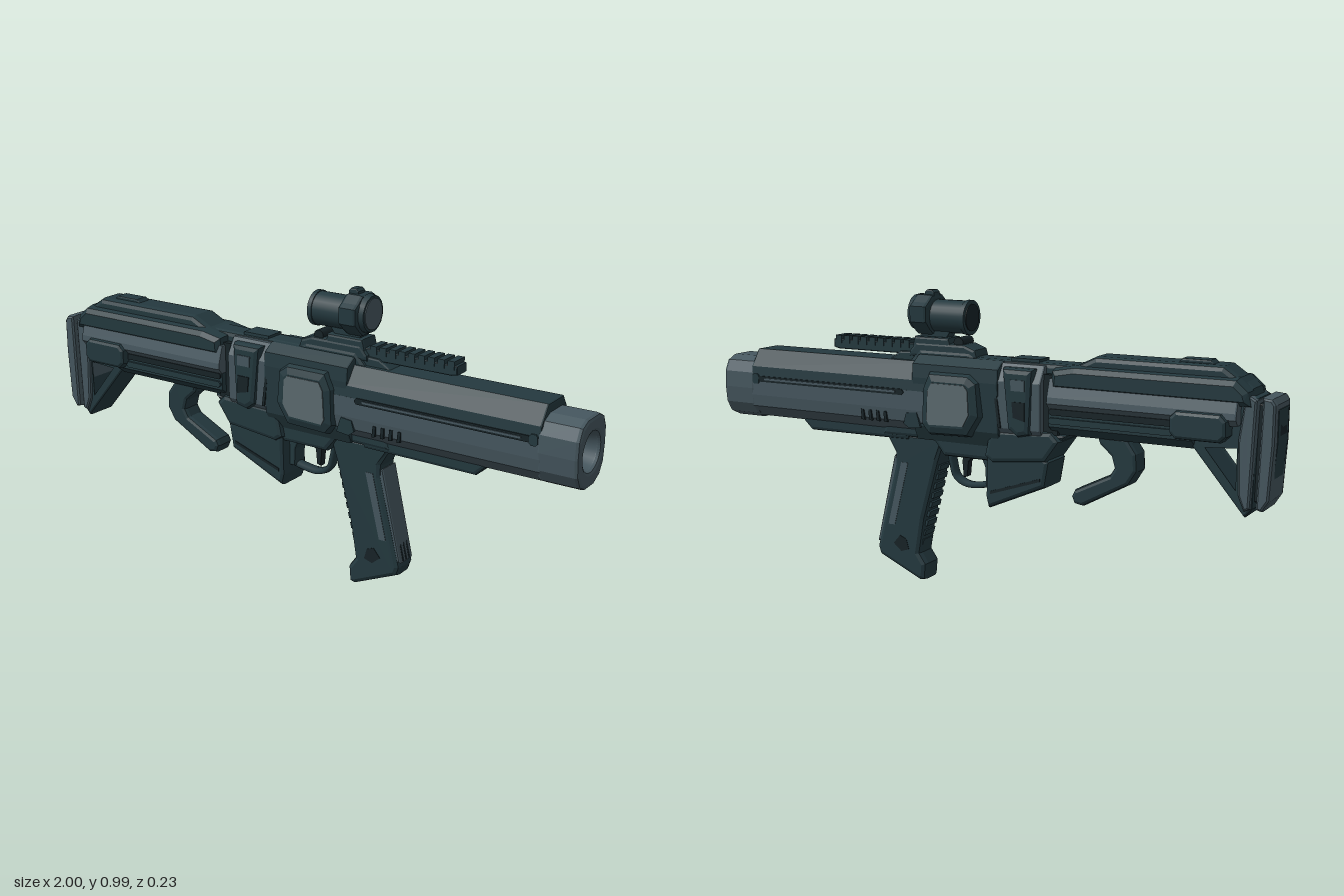
import * as THREE from 'three';

const mat = (name, color) => {
  const m = new THREE.MeshStandardMaterial({ color, side: THREE.DoubleSide });
  m.name = name;
  return m;
};

export function createModel() {
  const dark = mat('dark teal', 0x24393f);
  const mid = mat('slate grey', 0x46575f);
  const light = mat('light grey', 0x5c6a6f);
  const black = mat('near black', 0x172327);
  const root = new THREE.Group();

  const add = (name, geo, m, x = 0, y = 0, z = 0) => {
    const mesh = new THREE.Mesh(geo, m);
    mesh.name = name;
    mesh.position.set(x, y, z);
    root.add(mesh);
    return mesh;
  };
  const poly = (pts) => new THREE.Shape(pts.map((p) => new THREE.Vector2(p[0], p[1])));
  const mirrored = (half) => half.concat(half.map(([z, y]) => [-z, y]).reverse());
  const bevelled = (shape, depth, bt, bs) => {
    const g = new THREE.ExtrudeGeometry(shape, {
      depth: depth - 2 * bt, bevelEnabled: bt > 0, bevelThickness: bt, bevelSize: bs,
      bevelOffset: -bs, bevelSegments: 2, curveSegments: 24,
    });
    g.translate(0, 0, bt - depth / 2);
    return g;
  };
  // side profile (x, y) extruded across the width, with chamfered edges
  const side = (name, pts, half, m, bt = 0.015, bs = bt, hole) => {
    const s = poly(pts);
    if (hole) s.holes.push(poly(hole));
    return add(name, bevelled(s, half * 2, bt, bs), m);
  };
  // half cross-section (z, y), mirrored, extruded from x0 to x1
  const along = (name, half, x0, x1, m, bevel = 0.006) =>
    add(name, bevelled(poly(mirrored(half)), x1 - x0, bevel, bevel).rotateY(Math.PI / 2), m, (x0 + x1) / 2);
  // thin or small profile on both flanks
  const flanks = (name, pts, z, thick, m) => {
    for (const s of [1, -1]) {
      const g = new THREE.ExtrudeGeometry(poly(pts), { depth: thick, bevelEnabled: false });
      add(name, g, m, 0, 0, s * z - thick / 2);
    }
  };
  const rect = (x0, x1, y0, y1, c = 0.006) => [
    [x0 + c, y0], [x1 - c, y0], [x1, y0 + c], [x1, y1 - c],
    [x1 - c, y1], [x0 + c, y1], [x0, y1 - c], [x0, y0 + c]];
  const box = (name, x0, x1, y0, y1, half, m, z = 0) =>
    add(name, new THREE.BoxGeometry(x1 - x0, y1 - y0, half * 2), m, (x0 + x1) / 2, (y0 + y1) / 2, z);
  const rodX = (name, r0, r1, x0, x1, y, m, seg = 24) =>
    add(name, new THREE.CylinderGeometry(r1, r0, x1 - x0, seg)
      .rotateY(Math.PI / seg).rotateZ(-Math.PI / 2), m, (x0 + x1) / 2, y);

  // barrel shroud: grey lower shell, dark upper cover
  along('lowerShroud', [[0.052, 0.522], [0.088, 0.56], [0.094, 0.6], [0.094, 0.665]], 0.1, 0.885, mid);
  along('upperShroud', [[0.094, 0.662], [0.09, 0.7], [0.05, 0.757]], 0.14, 0.88, dark);
  flanks('shroudSlot', rect(0.25, 0.85, 0.648, 0.668, 0.008), 0.093, 0.009, black);
  flanks('shroudRod', rect(0.28, 0.82, 0.655, 0.662, 0.002), 0.0975, 0.006, mid);
  flanks('slotEnd', rect(0.845, 0.872, 0.64, 0.675), 0.094, 0.008, dark);
  for (let i = 0; i < 4; i++) {
    const x = 0.315 + i * 0.03;
    flanks('shroudVent', [[x, 0.552], [x + 0.011, 0.554], [x + 0.014, 0.588], [x + 0.003, 0.588]], 0.091, 0.009, black);
  }
  side('underRail', [[0.24, 0.54], [0.26, 0.49], [0.655, 0.487], [0.685, 0.515], [0.7, 0.54]], 0.055, dark, 0.012);

  // muzzle: rounded octagonal sleeve with a round recessed bore
  const sleeve = poly(mirrored([[0.03, -0.11], [0.068, -0.092], [0.09, -0.055], [0.096, 0], [0.094, 0.055], [0.075, 0.092], [0.04, 0.108]]));
  sleeve.holes.push(new THREE.Path().absarc(0, 0, 0.06, 0, Math.PI * 2, true));
  add('muzzle', bevelled(sleeve, 0.135, 0.012, 0.011).rotateY(Math.PI / 2), mid, 0.9325, 0.622);
  const bore = [[0, 0], [0.044, 0], [0.05, 0.012], [0.061, 0.06]].map((p) => new THREE.Vector2(...p));
  add('bore', new THREE.LatheGeometry(bore, 28).rotateZ(-Math.PI / 2), mid, 0.93, 0.622);

  // receiver core and top cover
  along('receiver', [[0.06, 0.5], [0.085, 0.55], [0.092, 0.71], [0.088, 0.755], [0.05, 0.78]], -0.1, 0.22, dark);
  side('receiverTop', [[-0.36, 0.74], [-0.36, 0.782], [0, 0.782], [0.03, 0.8], [0.22, 0.8], [0.26, 0.755], [0.26, 0.72]], 0.045, dark, 0.015);
  side('lowerReceiver', [[-0.33, 0.56], [-0.25, 0.49], [-0.06, 0.45], [0.12, 0.45], [0.16, 0.5], [0.36, 0.5], [0.34, 0.56]], 0.06, dark, 0.015);

  // hexagonal side housing with light panel
  side('sideHousing', [[-0.045, 0.6], [0, 0.53], [0.15, 0.525], [0.18, 0.56], [0.175, 0.68], [0.15, 0.735], [0, 0.735], [-0.035, 0.71]], 0.114, dark, 0.028, 0.03);
  flanks('lightPanel', [[-0.007, 0.605], [0.014, 0.567], [0.141, 0.563], [0.15, 0.58], [0.144, 0.675], [0.13, 0.7], [0.01, 0.7], [-0.003, 0.685]], 0.114, 0.006, light);
  flanks('housingTrim', [[0.185, 0.545], [0.23, 0.54], [0.25, 0.555], [0.24, 0.59], [0.2, 0.595]], 0.092, 0.008, dark);

  // middle block with slanted cover
  along('middleBlock', [[0.065, 0.54], [0.085, 0.57], [0.088, 0.72], [0.055, 0.775]], -0.25, -0.07, mid);
  side('slantedCover', [[-0.225, 0.765], [-0.115, 0.765], [-0.135, 0.57], [-0.17, 0.545], [-0.215, 0.555]], 0.098, dark, 0.018);
  flanks('coverRecess', [[-0.2, 0.66], [-0.155, 0.66], [-0.16, 0.61], [-0.2, 0.6]], 0.098, 0.006, black);
  flanks('coverPlate', [[-0.2, 0.73], [-0.15, 0.73], [-0.152, 0.695], [-0.2, 0.695]], 0.098, 0.006, mid);
  flanks('blockSeam', [[-0.09, 0.72], [-0.08, 0.72], [-0.1, 0.57], [-0.11, 0.57]], 0.086, 0.008, black);
  box('topLatch', -0.22, -0.12, 0.77, 0.79, 0.035, dark);
  box('neck', -0.3, -0.24, 0.56, 0.75, 0.065, black);

  // rear stock body: grey sloping flanks, dark underside, shoulders and raised spine
  along('stockFlank', [[0.085, 0.645], [0.102, 0.665], [0.1, 0.685], [0.082, 0.742]], -0.89, -0.275, mid);
  along('stockLower', [[0.045, 0.56], [0.085, 0.59], [0.085, 0.65]], -0.75, -0.275, dark);
  flanks('stockSlot', rect(-0.69, -0.28, 0.628, 0.648), 0.086, 0.009, black);
  flanks('stockRod', rect(-0.69, -0.28, 0.6, 0.62), 0.087, 0.012, dark);
  side('stockShoulder', [[-0.93, 0.7], [-0.92, 0.75], [-0.88, 0.785], [-0.36, 0.785], [-0.28, 0.77], [-0.275, 0.7]], 0.092, dark, 0.045, 0.022);
  side('stockSpine', [[-0.93, 0.72], [-0.92, 0.755], [-0.83, 0.815], [-0.42, 0.815], [-0.34, 0.776], [-0.3, 0.74]], 0.058, dark, 0.022, 0.016);
  side('topRidge', [[-0.8, 0.805], [-0.78, 0.826], [-0.69, 0.826], [-0.67, 0.805]], 0.025, dark, 0.005);
  side('cheekBlock', rect(-0.865, -0.685, 0.595, 0.682, 0.02), 0.116, dark, 0.018, 0.012);

  // shoulder frame with open triangle, spacer and butt pad
  side('shoulderFrame', [[-0.94, 0.73], [-0.87, 0.75], [-0.7, 0.66], [-0.7, 0.59], [-0.74, 0.57], [-0.91, 0.37], [-0.935, 0.4]],
    0.062, dark, 0.012, 0.008, [[-0.89, 0.585], [-0.772, 0.575], [-0.885, 0.44]]);
  side('shoulderPost', [[-0.942, 0.725], [-0.905, 0.745], [-0.885, 0.6], [-0.89, 0.44], [-0.91, 0.39], [-0.93, 0.4]], 0.074, mid, 0.015, 0.008);
  side('padSpacer', [[-0.97, 0.71], [-0.93, 0.715], [-0.92, 0.42], [-0.96, 0.415]], 0.048, black, 0.01, 0.005);
  side('buttPad', [[-0.997, 0.715], [-0.985, 0.732], [-0.955, 0.735], [-0.945, 0.4], [-0.965, 0.395], [-0.987, 0.43], [-0.997, 0.6]], 0.073, mid, 0.018, 0.008);
  side('padFace', [[-1, 0.7], [-0.975, 0.7], [-0.97, 0.45], [-0.987, 0.45], [-1, 0.6]], 0.05, dark, 0.008, 0.004);
  box('padRecess', -1, -0.99, 0.62, 0.68, 0.03, black);

  // hooked rear handle
  side('hookHandle', [[-0.52, 0.57], [-0.555, 0.52], [-0.558, 0.465], [-0.53, 0.42], [-0.375, 0.335], [-0.345, 0.34], [-0.335, 0.365],
    [-0.345, 0.385], [-0.465, 0.445], [-0.48, 0.47], [-0.47, 0.505], [-0.43, 0.54], [-0.42, 0.57]], 0.04, dark, 0.016, 0.012);

  // magazine
  side('magazine', [[-0.27, 0.47], [-0.255, 0.385], [-0.05, 0.295], [-0.04, 0.335], [-0.045, 0.5], [-0.2, 0.52]], 0.066, dark, 0.018, 0.014);
  side('magazineWell', [[-0.31, 0.54], [-0.26, 0.47], [-0.07, 0.45], [-0.04, 0.47], [-0.06, 0.56], [-0.28, 0.57]], 0.076, dark, 0.015);
  flanks('magazineGroove', [[-0.24, 0.405], [-0.06, 0.345], [-0.06, 0.355], [-0.24, 0.415]], 0.065, 0.006, black);

  // trigger guard and trigger
  const guard = new THREE.CatmullRomCurve3([[-0.05, 0.37], [-0.01, 0.358], [0.06, 0.353], [0.1, 0.375], [0.115, 0.42], [0.125, 0.48]]
    .map(([x, y]) => new THREE.Vector3(x, y, 0)));
  add('triggerGuard', new THREE.TubeGeometry(guard, 24, 0.011, 8).scale(1, 1, 2), dark);
  side('guardFront', [[-0.045, 0.36], [-0.045, 0.47], [0, 0.47], [-0.02, 0.42], [-0.022, 0.36]], 0.03, dark, 0.006);
  side('trigger', [[0.025, 0.46], [0.05, 0.43], [0.055, 0.38], [0.07, 0.375], [0.075, 0.43], [0.07, 0.46]], 0.014, black, 0.004);

  // pistol grip
  side('grip', [[0.12, 0.51], [0.15, 0.42], [0.205, 0.22], [0.225, 0.1], [0.2, 0.065], [0.205, 0.01], [0.225, 0.004], [0.385, 0.075],
    [0.395, 0.105], [0.32, 0.4], [0.32, 0.44], [0.36, 0.51]], 0.047, dark, 0.022, 0.016);
  side('gripStrap', [[0.325, 0.43], [0.3, 0.42], [0.365, 0.13], [0.396, 0.12]], 0.04, mid, 0.012, 0.005);
  for (let i = 0; i < 9; i++) {
    const rib = box('gripRib', -0.014, 0.014, -0.01, 0.01, 0.03, dark);
    rib.position.set(0.163 + i * 0.0085, 0.405 - i * 0.033, 0);
    rib.rotation.z = 0.26;
  }
  flanks('gripBadge', [[0.265, 0.11], [0.295, 0.1], [0.325, 0.125], [0.3, 0.155], [0.275, 0.145]], 0.046, 0.005, black);
  flanks('gripInlay', [[0.265, 0.41], [0.292, 0.41], [0.345, 0.19], [0.32, 0.19]], 0.046, 0.005, mid);
  for (const z of [-0.018, 0, 0.018]) {
    const slot = box('gripSlot', -0.004, 0.004, -0.028, 0.028, 0.004, black, z);
    slot.position.set(0.386, 0.15, z);
    slot.rotation.z = 0.25;
  }

  // top accessory rail
  side('rail', [[0.2, 0.785], [0.23, 0.812], [0.57, 0.808], [0.57, 0.78], [0.55, 0.775], [0.25, 0.775]], 0.029, dark, 0.006, 0.003);
  for (let i = 0; i < 9; i++) box('railTooth', 0.265 + i * 0.034, 0.288 + i * 0.034, 0.795, 0.822, 0.032, dark);
  side('railSupport', [[0.2, 0.74], [0.2, 0.79], [0.3, 0.785], [0.35, 0.75]], 0.035, dark, 0.008);

  // sight mount
  side('mountBase', [[0, 0.77], [0.01, 0.805], [0.05, 0.82], [0.235, 0.82], [0.26, 0.79], [0.26, 0.77]], 0.042, dark, 0.01);
  side('mountClamp', [[0.1, 0.8], [0.11, 0.838], [0.24, 0.838], [0.25, 0.8]], 0.04, dark, 0.008);
  side('mountNeck', [[0.13, 0.83], [0.11, 0.86], [0.23, 0.86], [0.22, 0.83]], 0.024, dark, 0.004);
  add('clampKnob', new THREE.CylinderGeometry(0.018, 0.018, 0.07, 12).rotateX(Math.PI / 2), black, 0.075, 0.825);

  // sight tube, winged hood, lenses and top turret
  rodX('sightTube', 0.054, 0.054, 0.045, 0.18, 0.905, dark);
  rodX('rearRing', 0.057, 0.057, 0.045, 0.06, 0.905, dark);
  rodX('rearLens', 0.044, 0.044, 0.042, 0.048, 0.905, black);
  along('hood', [[0.028, 0.845], [0.05, 0.862], [0.076, 0.888], [0.078, 0.94], [0.06, 0.952], [0.032, 0.974]], 0.172, 0.238, dark, 0.01);
  rodX('hoodRim', 0.063, 0.058, 0.235, 0.254, 0.914, dark, 16);
  rodX('frontLens', 0.05, 0.05, 0.25, 0.257, 0.914, mid);
  side('topTurret', rect(0.175, 0.212, 0.96, 0.99, 0.008), 0.02, dark, 0.006, 0.004);

  return root;
}
